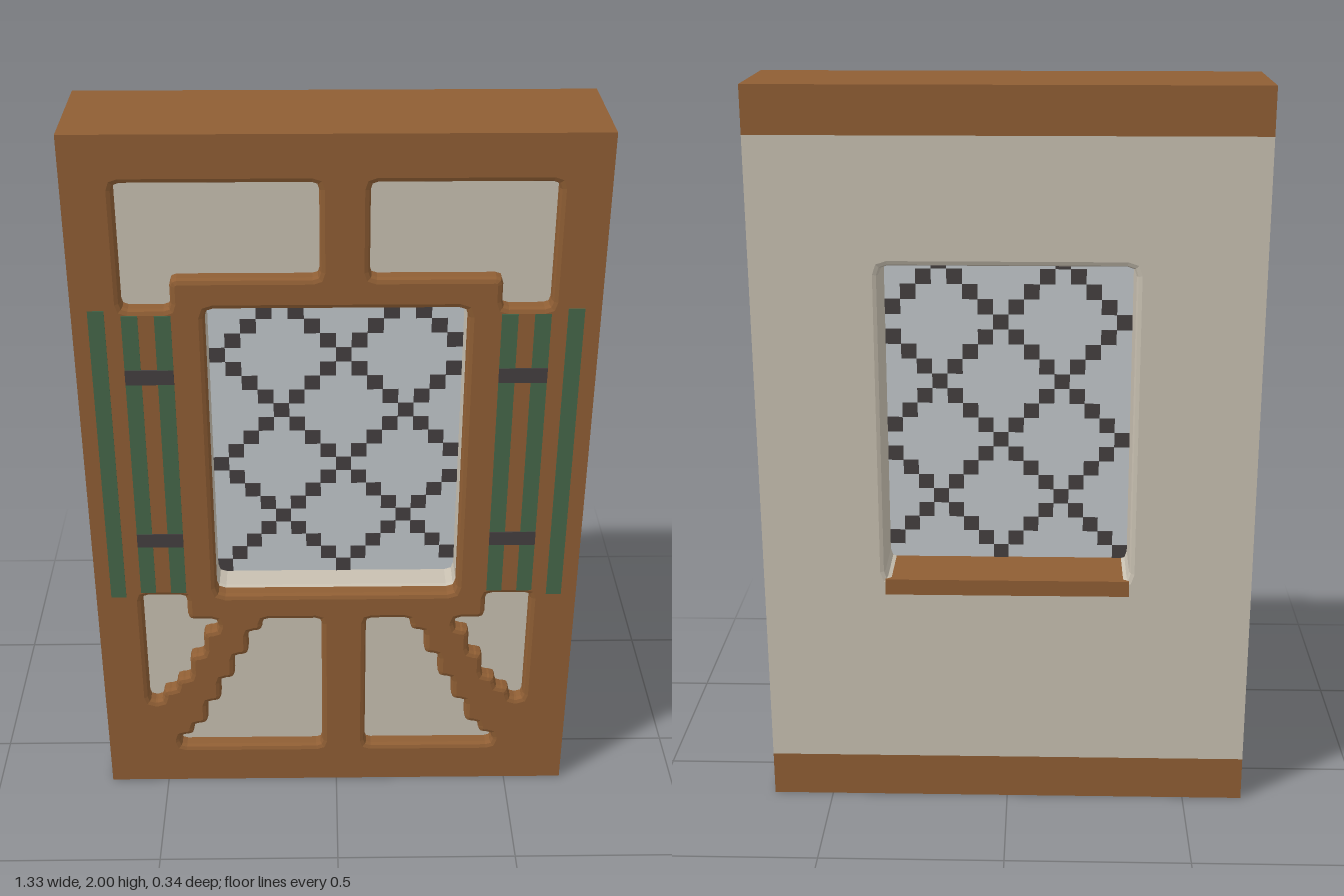
import * as THREE from 'three';

const V = 1 / 24; // grid unit: the panel is 32 x 48 x 8 units
const B = 0.014; // edge softening
const mat = (name, color) => {
  const m = new THREE.MeshStandardMaterial({ color });
  m.name = name;
  return m;
};

// Closed path through grid corners, with small rounded corners
function roundedPath(pts, r) {
  const p = pts.map(([x, y]) => new THREE.Vector2(x * V, y * V));
  const path = new THREE.Path();
  p.forEach((c, i) => {
    const prev = p[(i + p.length - 1) % p.length], next = p[(i + 1) % p.length];
    const a = c.clone().add(prev.clone().sub(c).setLength(r));
    const b = c.clone().add(next.clone().sub(c).setLength(r));
    if (i === 0) path.moveTo(a.x, a.y); else path.lineTo(a.x, a.y);
    path.quadraticCurveTo(c.x, c.y, b.x, b.y);
  });
  path.closePath();
  return path;
}

// Full-width slab with softened holes on its front or back and a crisp outer edge
function slab(y0, y1, z0, z1, holes, side) {
  const w = 16 * V;
  const shape = new THREE.Shape([[-w, y0], [w, y0], [w, y1], [-w, y1]].map(([x, y]) => new THREE.Vector2(x, y)));
  shape.holes = holes;
  const geo = new THREE.ExtrudeGeometry(shape, {
    depth: z1 - z0 - B, bevelEnabled: true, bevelThickness: B, bevelSize: B,
    bevelOffset: -B, bevelSegments: 2, curveSegments: 2,
  });
  geo.translate(0, 0, side === 'front' ? z0 : z0 + B);
  const pos = geo.attributes.position;
  for (let i = 0; i < pos.count; i++) {
    let x = pos.getX(i), y = pos.getY(i);
    if (Math.abs(x) > w - 0.03) x = Math.sign(x) * w;
    if (y < y0 + 0.03) y = y0;
    if (y > y1 - 0.03) y = y1;
    pos.setXYZ(i, x, y, THREE.MathUtils.clamp(pos.getZ(i), z0, z1));
  }
  geo.computeVertexNormals();
  return geo;
}

export function createModel() {
  const wood = mat('timber brown', 0x8f5e34);
  const plaster = mat('plaster cream', 0xc8c0b1);
  const glass = mat('pale glass', 0xc2c8cc);
  const lead = mat('dark lead', 0x443f40);
  const green = mat('shutter green', 0x456749);

  const group = new THREE.Group();
  group.name = 'timberWallWithWindow';
  const add = (name, geo, material, parent = group) => {
    const mesh = new THREE.Mesh(geo, material);
    mesh.name = name;
    parent.add(mesh);
    return mesh;
  };
  // Box between two corners
  const box = (name, x0, x1, y0, y1, z0, z1, material, parent) => {
    const mesh = add(name, new THREE.BoxGeometry(x1 - x0, y1 - y0, z1 - z0), material, parent);
    mesh.position.set((x0 + x1) / 2, (y0 + y1) / 2, (z0 + z1) / 2);
    return mesh;
  };

  // Window opening, shared by every layer
  const opening = () => roundedPath([[-8, 16], [8, 16], [8, 37], [-8, 37]], 0.025);

  // Recessed panels: s mirrors, c is the inner edge beside the centre post
  const panels = (s, c) => [
    [[c, 45], [13, 45], [13, 37], [10, 37], [10, 39], [c, 39]],
    [[13, 16], [10, 16], [10, 14], [8, 14], [8, 13], [9, 13], [9, 11], [10, 11],
      [10, 9], [11, 9], [11, 8], [12, 8], [12, 7], [13, 7]],
    [[c, 14], [5, 14], [5, 13], [6, 13], [6, 11], [7, 11], [7, 9], [8, 9], [8, 7],
      [9, 7], [9, 5], [10, 5], [10, 4], [11, 4], [11, 3], [c, 3]],
  ].map((pts) => roundedPath(pts.map(([x, y]) => [s * x, y]), 0.018));

  // Front timber frame
  add('timberFrame', slab(0, 2, 3 * V, 4 * V, [opening(), ...panels(1, 2), ...panels(-1, 1)], 'front'), wood);

  // Plaster wall: core and back layer
  add('wallCore', slab(0, 47 * V, -3 * V, 3 * V, [opening()], 'front'), plaster);
  add('wallBack', slab(3 * V, 45 * V, -4 * V, -3 * V, [opening()], 'back'), plaster);

  // Top board, back beams and inner sill
  box('topBoard', -16 * V, 16 * V, 47 * V, 2, -4 * V, 3 * V, wood);
  box('backTopBeam', -16 * V, 16 * V, 45 * V, 47 * V, -4 * V, -3 * V, wood);
  box('backBottomBeam', -16 * V, 16 * V, 0, 3 * V, -4 * V, -3 * V, wood);
  box('innerSill', -8 * V, 8 * V, 15 * V, 16 * V + 0.003, -4 * V - 0.003, 0, wood);

  // Window pane with diagonal leading
  const win = new THREE.Group();
  win.name = 'window';
  group.add(win);
  box('pane', -8 * V, 8 * V, 16 * V, 37 * V, 0, V, glass, win);
  for (let c = 0; c < 16; c++) {
    for (let r = 0; r < 21; r++) {
      if ((c + r) % 8 !== 4 && (c - r + 24) % 8 !== 4) continue;
      const x = (c - 8) * V, y = (36 - r) * V;
      box('leading', x, x + V, y, y + V, -0.002, V + 0.002, lead, win);
    }
  }

  // Painted shutters: green stripes and dark hinges
  for (const s of [-1, 1]) {
    const shutter = new THREE.Group();
    shutter.name = s > 0 ? 'leftShutter' : 'rightShutter';
    group.add(shutter);
    const plate = (name, a, b, y0, y1, t, m) =>
      box(name, Math.min(s * a, s * b) * V, Math.max(s * a, s * b) * V, y0, y1, 4 * V - 0.002, 4 * V + t, m, shutter);
    for (const a of [10, 12, 14]) {
      const trim = a < 14 ? B : 0;
      plate('stripe', a, a + 1, 16 * V + trim, 37 * V - trim, 0.002, green);
    }
    for (const y of [20, 32]) plate('hinge', 10, 13, y * V, (y + 1) * V, 0.004, lead);
  }
  return group;
}
